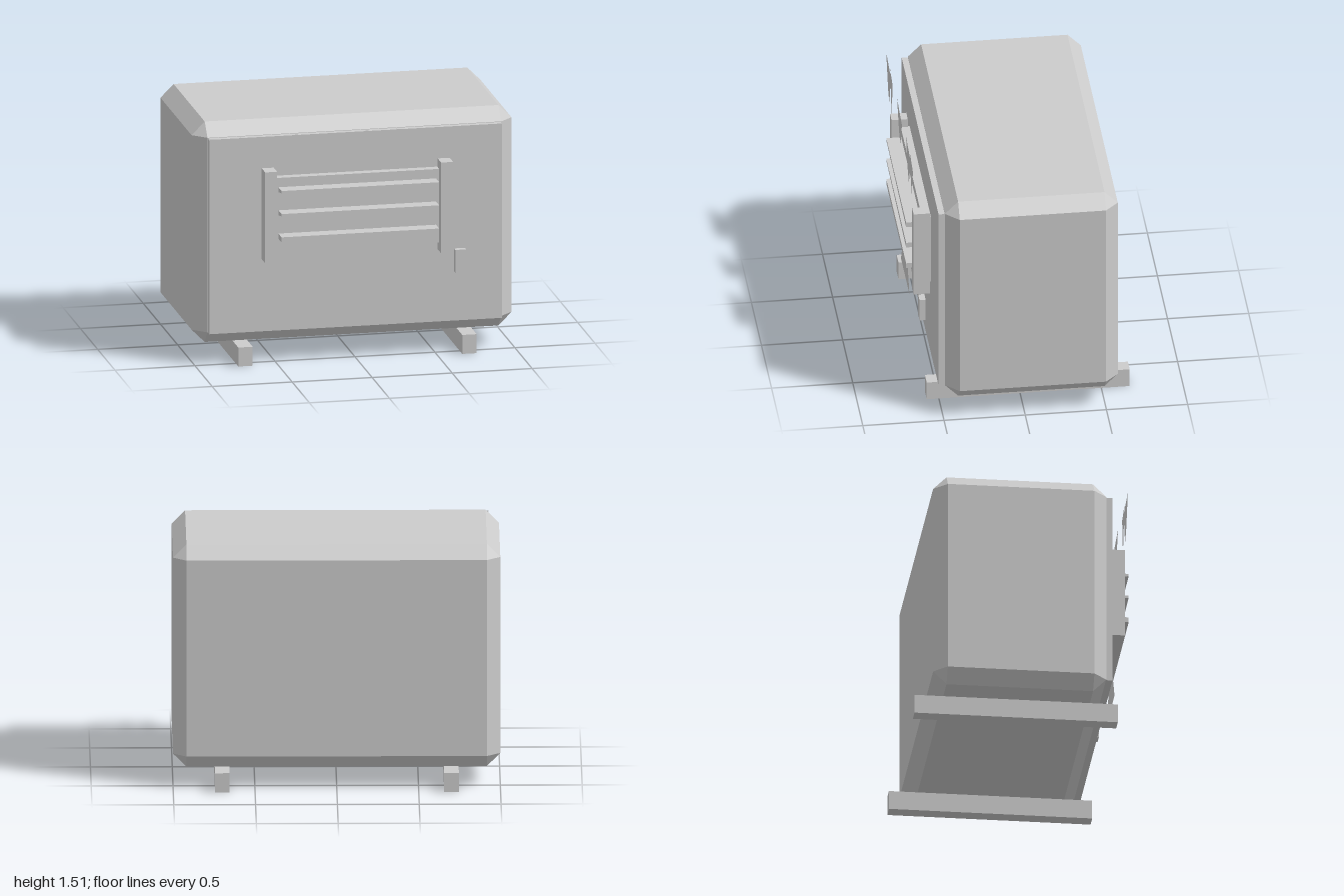
import * as THREE from 'three';
import { ConvexGeometry } from 'three/addons/geometries/ConvexGeometry.js';

const grey = new THREE.MeshStandardMaterial({ color: 0xcccccc, flatShading: true });
const greyThin = new THREE.MeshStandardMaterial({ color: 0xcccccc, flatShading: true, side: THREE.DoubleSide });

export function createModel() {
  const model = new THREE.Group();

  const add = (name, geometry, material = grey) => {
    const mesh = new THREE.Mesh(geometry, material);
    mesh.name = name;
    model.add(mesh);
    return mesh;
  };

  // Box given by its limits on each axis
  const box = (name, [x0, x1], [y0, y1], [z0, z1]) => {
    const g = new THREE.BoxGeometry(x1 - x0, y1 - y0, z1 - z0);
    g.translate((x0 + x1) / 2, (y0 + y1) / 2, (z0 + z1) / 2);
    return add(name, g);
  };

  // Flat cut-out floating in front of the panel
  const cutout = (name, points) => {
    const shape = new THREE.Shape(points.map(([x, y]) => new THREE.Vector2(x, y)));
    const g = new THREE.ShapeGeometry(shape);
    g.translate(0, 0, 0.615);
    add(name, g, greyThin);
  };

  // Body: box with every edge and corner chamfered
  const half = [1, 0.6975, 0.5325];
  const bevel = 0.082;
  const corners = [];
  for (const sx of [-1, 1]) for (const sy of [-1, 1]) for (const sz of [-1, 1]) {
    for (let axis = 0; axis < 3; axis++) {
      const [x, y, z] = half.map((h, i) => (i === axis ? h : h - bevel));
      corners.push(new THREE.Vector3(sx * x, sy * y, sz * z));
    }
  }
  add('body', new ConvexGeometry(corners)).position.set(0, 0.8175, -0.0475);

  // Front panel and the grille's backing
  box('frontPanel', [-0.915, 0.915], [0.2, 1.43], [0.475, 0.523]);
  box('grilleBacking', [-0.525, 0.535], [0.715, 1.18], [0.515, 0.578]);

  // Grille posts
  box('grillePostRight', [-0.59, -0.515], [0.66, 1.235], [0.535, 0.635]);
  box('grillePostLeft', [0.51, 0.585], [0.66, 1.235], [0.535, 0.635]);

  // Grille slats; the upper two taper at one end
  [[0.795, 0], [0.942, 0.018], [1.088, 0.018]].forEach(([y, lift], i) => {
    const slat = box('grilleSlat' + (i + 1), [-0.495, 0.49], [y, y + 0.033], [0.57, 0.67]);
    const p = slat.geometry.attributes.position;
    for (let k = 0; k < p.count; k++) {
      if (p.getX(k) < 0 && p.getZ(k) > 0.6 && p.getY(k) < y + 0.01) p.setY(k, y + lift);
    }
    slat.geometry.computeVertexNormals();
  });

  // Small handle beside the grille
  box('handle', [0.604, 0.672], [0.525, 0.67], [0.572, 0.61]);

  // Runners under the body
  for (const [name, x] of [['runnerRight', -0.7], ['runnerLeft', 0.7]]) {
    box(name, [x - 0.045, x + 0.045], [0, 0.12], [-0.675, 0.575]);
  }

  // Flat triangle below the grille
  cutout('frontTriangle', [[-0.21, 0.43], [0.21, 0.43], [0, 0.795]]);

  // Jagged icicles along the top
  cutout('icicleRight', [[-0.94, 1.46], [-0.845, 1.245], [-0.785, 1.19], [-0.727, 1.37],
    [-0.67, 1.165], [-0.625, 1.415], [-0.745, 1.46], [-0.735, 1.425]]);
  cutout('icicleMiddle', [[-0.4, 1.46], [-0.305, 1.285], [-0.24, 1.23], [-0.16, 1.415]]);
  cutout('icicleLeft', [[0.04, 1.46], [0.123, 1.28], [0.182, 1.21], [0.257, 1.375],
    [0.32, 1.21], [0.385, 1.415], [0.235, 1.46], [0.245, 1.425]]);

  return model;
}
